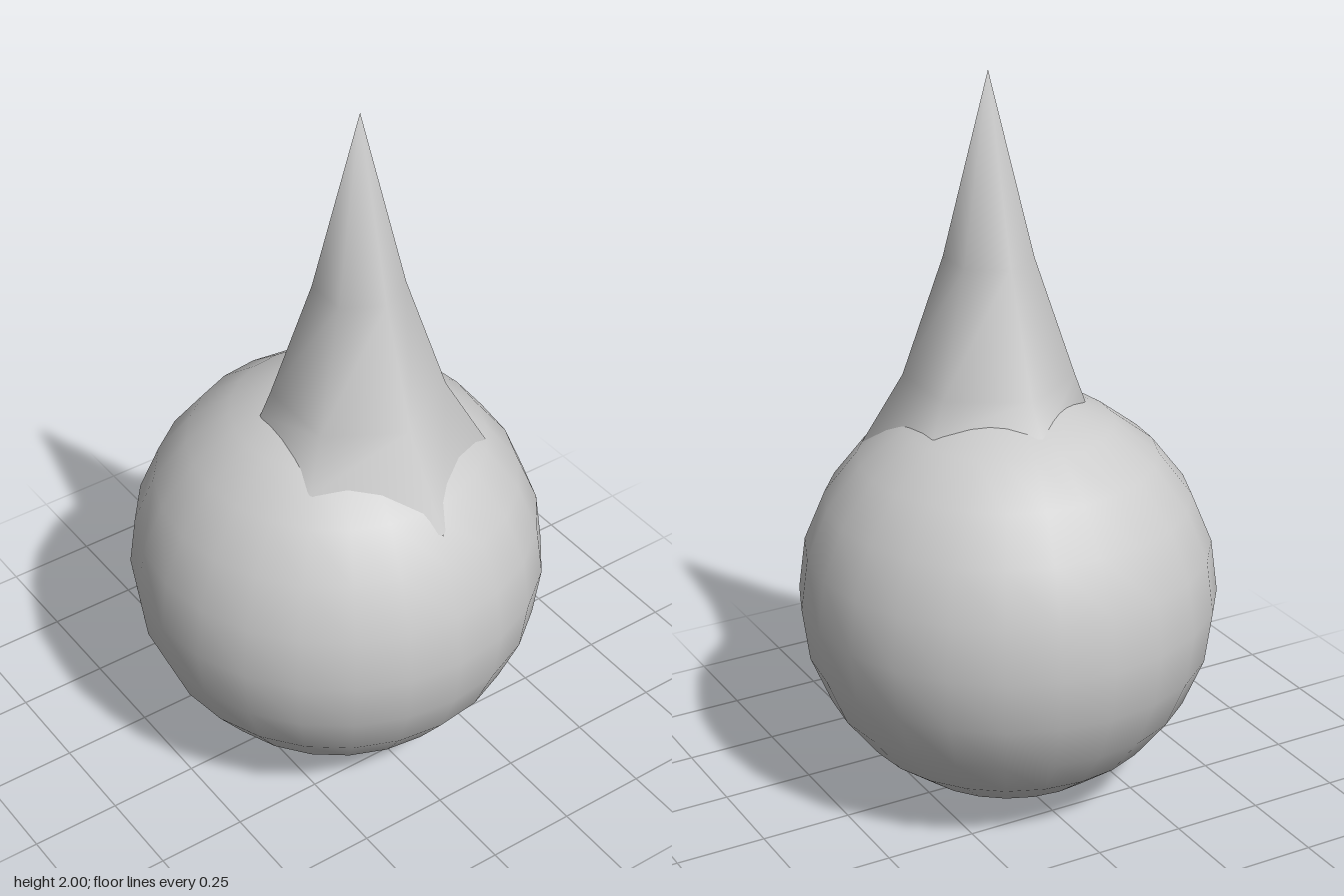
import * as THREE from 'three';

const R = 0.57;

// Six corners around a centre, at one height
function hexRing(cx, y, cz, r) {
  return Array.from({ length: 6 }, (_, i) => {
    const a = (i * Math.PI) / 3;
    return [cx + r * Math.cos(a), y, cz + r * Math.sin(a)];
  });
}

// Smooth surface through rings of six points, closed by a tip
function spikeGeometry(rings, tip) {
  const n = 6;
  const positions = [...rings.flat(), tip].flat();
  const tipIndex = rings.length * n;
  const index = [];
  for (let k = 0; k < rings.length; k++) {
    for (let i = 0; i < n; i++) {
      const a = k * n + i;
      const b = k * n + ((i + 1) % n);
      if (k === rings.length - 1) index.push(a, tipIndex, b);
      else index.push(a, a + n, b, b, a + n, b + n);
    }
  }
  const geometry = new THREE.BufferGeometry();
  geometry.setAttribute('position', new THREE.Float32BufferAttribute(positions, 3));
  geometry.setIndex(index);
  geometry.computeVertexNormals();
  return geometry;
}

export function createModel() {
  const group = new THREE.Group();
  const grey = new THREE.MeshStandardMaterial({ color: 0xcccccc });

  // Round body
  const ball = new THREE.Mesh(new THREE.SphereGeometry(R, 24, 12), grey);
  ball.name = 'ball';
  ball.position.y = R;
  group.add(ball);

  // Flared foot of the spike: corners (x, z) resting on the ball
  const foot = [
    [0.45, -0.02], [0.23, 0.245], [-0.05, 0.21],
    [-0.22, -0.02], [-0.05, -0.25], [0.25, -0.31],
  ].map(([x, z]) => [x, R + Math.sqrt(R * R - x * x - z * z) - 0.003, z]);

  // Six-sided spike, slightly off centre
  const rings = [
    foot,
    hexRing(0.08, 1.17, -0.013, 0.23),
    hexRing(0.08, 1.5, -0.013, 0.12),
  ];
  const spikeMaterial = new THREE.MeshStandardMaterial({ color: 0xcccccc, side: THREE.DoubleSide });
  const spike = new THREE.Mesh(spikeGeometry(rings, [0.08, 2, -0.013]), spikeMaterial);
  spike.name = 'spike';
  group.add(spike);

  return group;
}
